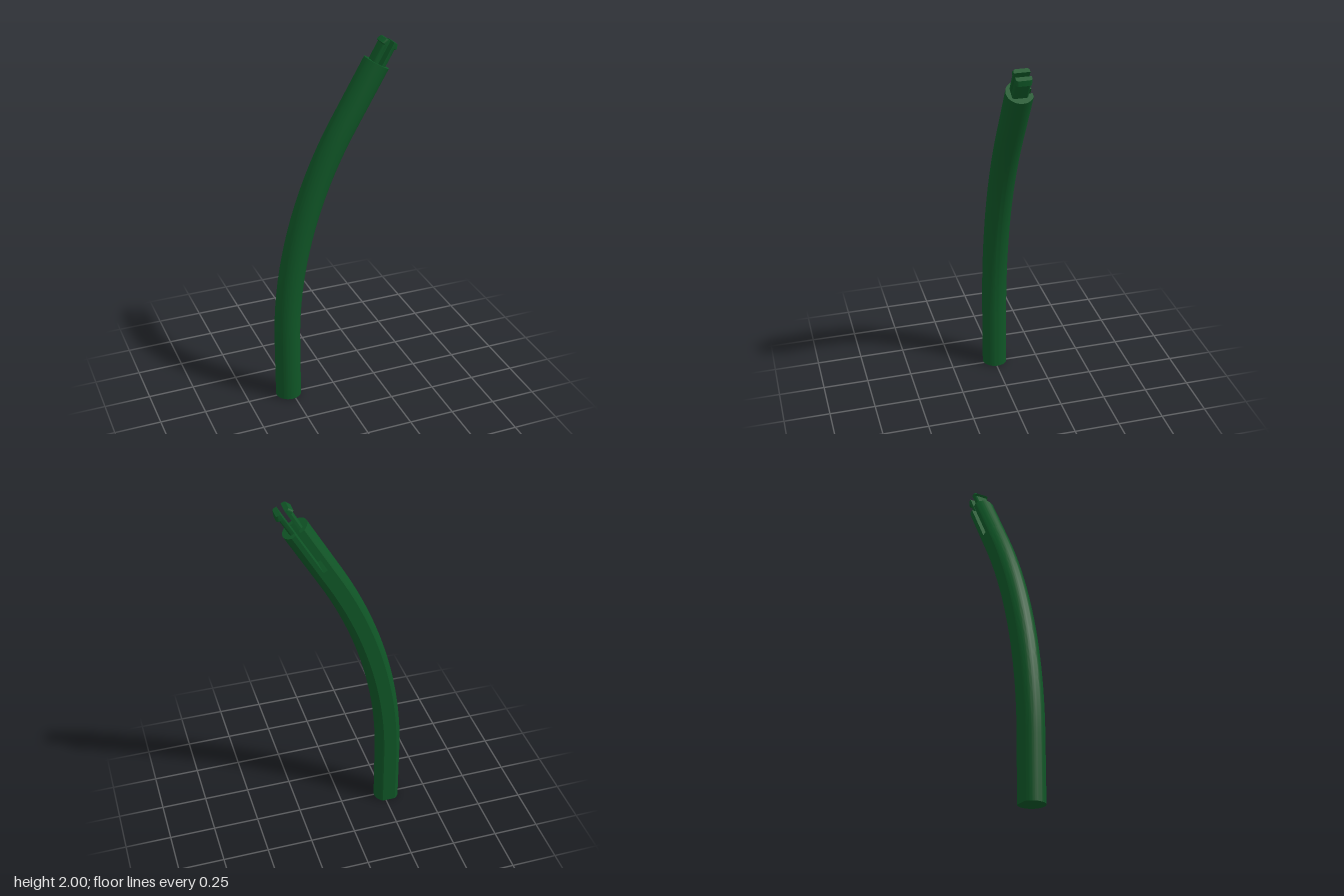
import * as THREE from 'three';
import { toCreasedNormals } from 'three/addons/utils/BufferGeometryUtils.js';

const BASE_X = -0.267, STRAIGHT = 0.35, RADIUS = 2.43, ANGLE = Math.PI / 6;
const LENGTH = STRAIGHT + RADIUS * ANGLE + 0.353; // arc length of the bar
const SLOT = 0.27, GAP = 0.0125;

// Bends an upright geometry along: straight foot, 30 degree arc, straight head
function bend(geo) {
  const p = geo.attributes.position;
  for (let i = 0; i < p.count; i++) {
    const u = p.getX(i), s = p.getY(i);
    const a = THREE.MathUtils.clamp((s - STRAIGHT) / RADIUS, 0, ANGLE);
    const rest = s < STRAIGHT ? s - STRAIGHT : s - STRAIGHT - RADIUS * a;
    p.setXYZ(i,
      BASE_X + RADIUS * (1 - Math.cos(a)) + rest * Math.sin(a) + u * Math.cos(a),
      STRAIGHT + RADIUS * Math.sin(a) + rest * Math.cos(a) - u * Math.sin(a),
      p.getZ(i));
  }
  return toCreasedNormals(geo, 0.5);
}

// Extrudes a cross-section upwards; shape y points to the back
function upright(shape, depth, steps) {
  return new THREE.ExtrudeGeometry(shape, { depth, steps, bevelEnabled: false, curveSegments: 40 })
    .rotateX(-Math.PI / 2);
}

// Round bar section with a flat back, optionally slotted
function barSection(slotted) {
  const a = Math.asin(0.06 / 0.07);
  const shape = new THREE.Shape();
  shape.absarc(0, 0.005, 0.07, Math.PI - a, 2 * Math.PI + a, false);
  if (slotted) {
    shape.lineTo(GAP, 0.065);
    shape.lineTo(GAP, -0.04);
    shape.lineTo(-GAP, -0.04);
    shape.lineTo(-GAP, 0.065);
  }
  shape.closePath();
  return shape;
}

// Prong with rounded outer corners and a barb near its tip
function prongGeometry(side) {
  const inner = GAP * side, outer = 0.037 * side, mid = 0.023 * side, z = 0.04;
  const shape = new THREE.Shape();
  shape.moveTo(inner, -z);
  shape.lineTo(mid, -z);
  shape.quadraticCurveTo(outer, -z, outer, -z + 0.016);
  shape.lineTo(outer, z - 0.016);
  shape.quadraticCurveTo(outer, z, mid, z);
  shape.lineTo(inner, z);
  shape.closePath();
  const geo = upright(shape, 3, 3);
  const levels = [0, 0.098, 0.104, 0.13], flare = [0, 0, 0.012, 0];
  const p = geo.attributes.position;
  for (let i = 0; i < p.count; i++) {
    const k = Math.round(p.getY(i));
    if (Math.abs(p.getX(i)) > 0.02) p.setX(i, p.getX(i) + side * flare[k]);
    p.setY(i, LENGTH + levels[k]);
  }
  return bend(geo);
}

export function createModel() {
  const model = new THREE.Group();
  model.name = 'curvedBar';
  const green = new THREE.MeshStandardMaterial({ color: 0x0f5526 });
  green.name = 'darkGreen';
  const add = (name, geo) => {
    const mesh = new THREE.Mesh(geo, green);
    mesh.name = name;
    model.add(mesh);
  };

  add('bar', bend(upright(barSection(false), LENGTH - SLOT, 60)));
  add('slottedEnd', bend(upright(barSection(true), SLOT, 1).translate(0, LENGTH - SLOT, 0)));
  add('leftProng', prongGeometry(1));
  add('rightProng', prongGeometry(-1));
  return model;
}
